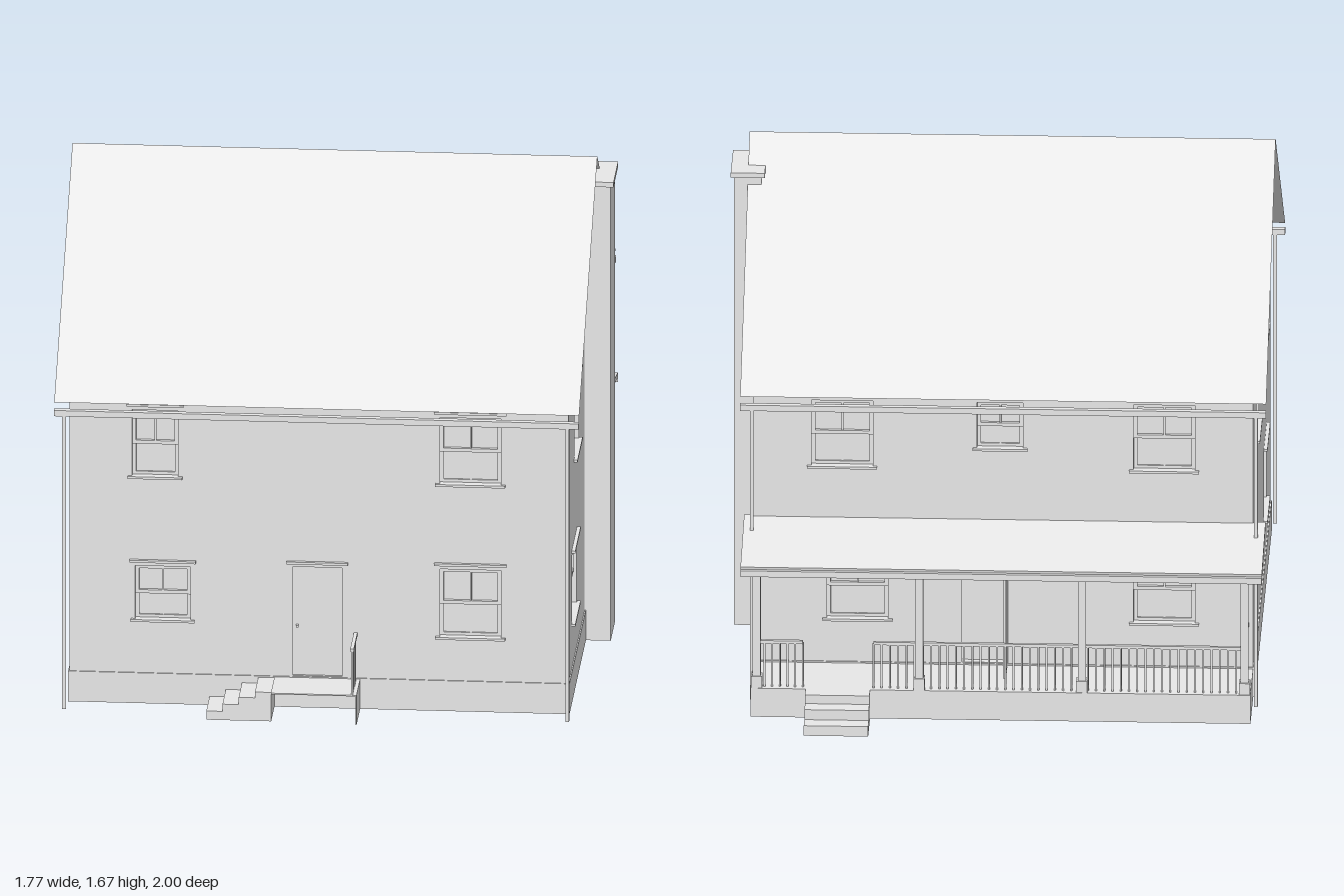
import * as THREE from 'three';

export function createModel() {
  const house = new THREE.Group();
  house.name = 'house';
  const plaster = new THREE.MeshStandardMaterial({ color: 0xe7e7e7 });
  plaster.name = 'pale grey';
  const sheet = new THREE.MeshStandardMaterial({ color: 0xe7e7e7, side: THREE.DoubleSide });
  sheet.name = 'pale grey sheet';

  // Box given by its limits on each axis
  function box(parent, name, x0, x1, y0, y1, z0, z1) {
    const mesh = new THREE.Mesh(new THREE.BoxGeometry(x1 - x0, y1 - y0, z1 - z0), plaster);
    mesh.position.set((x0 + x1) / 2, (y0 + y1) / 2, (z0 + z1) / 2);
    mesh.name = name;
    parent.add(mesh);
    return mesh;
  }

  // Sheet running along x between two (z, y) edges, the first edge having the lower z
  function slope(name, material, x0, x1, zA, yA, zB, yB) {
    const geo = new THREE.PlaneGeometry(x1 - x0, Math.hypot(zB - zA, yB - yA));
    geo.rotateX(-Math.PI / 2 + Math.atan2(yA - yB, zB - zA));
    geo.translate((x0 + x1) / 2, (yA + yB) / 2, (zA + zB) / 2);
    const mesh = new THREE.Mesh(geo, material);
    mesh.name = name;
    house.add(mesh);
  }

  const X0 = -0.84, X1 = 0.79, ZF = 0.84, ZB = -0.605, ZP = -0.84;
  const BASE = 0.105, EAVE = 1.1, RIDGE_Z = 0.115, DEPTH = 0.03, T = 0.004;

  // Hollow foundation, open below, under a thin ground floor
  box(house, 'foundationFront', X0 - T, X1 + T, 0, BASE, ZF, ZF + T);
  box(house, 'foundationBack', X0, X1, 0, BASE, ZB - T, ZB);
  for (const x of [X0 - T, X1]) box(house, 'foundationSide', x, x + T, 0, BASE, ZB, ZF);
  box(house, 'groundFloor', X0, X1, BASE - T, BASE, ZB, ZF);

  // Window fittings: recessed pane, two sashes, header and sill
  function addWindow(wall, [u0, u1, v0, v1]) {
    const g = new THREE.Group();
    g.name = 'window';
    const t = 0.012, um = (u0 + u1) / 2, vm = (v0 + v1) / 2;
    box(g, 'pane', u0, u1, v0, v1, -0.028, -0.022);
    for (const [a, b, z] of [[v0, vm + t / 2, -0.016], [vm - t / 2, v1, -0.01]]) {
      box(g, 'sashBottom', u0, u1, a, a + t, -0.022, z);
      box(g, 'sashTop', u0, u1, b - t, b, -0.022, z);
      box(g, 'sashLeft', u0, u0 + t, a, b, -0.022, z);
      box(g, 'sashRight', u1 - t, u1, a, b, -0.022, z);
      box(g, 'glazingBar', um - 0.003, um + 0.003, a, b, -0.022, z - 0.002);
    }
    box(g, 'header', u0 - 0.018, u1 + 0.018, v1 + 0.014, v1 + 0.022, -0.004, 0.012);
    box(g, 'sill', u0 - 0.014, u1 + 0.014, v0 - 0.006, v0 + 0.002, -0.02, 0.012);
    wall.add(g);
  }

  // Wall with holes, built facing +z and then turned into place
  function wall(name, outline, windows, doors, angle, x, z) {
    const g = new THREE.Group();
    g.name = name;
    const shape = new THREE.Shape(outline.map(([u, v]) => new THREE.Vector2(u, v)));
    for (const [u0, u1, v0, v1] of [...windows, ...doors]) {
      shape.holes.push(new THREE.Path([
        new THREE.Vector2(u0, v0), new THREE.Vector2(u0, v1),
        new THREE.Vector2(u1, v1), new THREE.Vector2(u1, v0)]));
    }
    const geo = new THREE.ExtrudeGeometry(shape, { depth: DEPTH, bevelEnabled: false });
    geo.translate(0, 0, -DEPTH);
    const skin = new THREE.Mesh(geo, plaster);
    skin.name = name + 'Skin';
    g.add(skin);
    windows.forEach((w) => addWindow(g, w));
    for (const [u0, u1, , v1] of doors) {
      box(g, 'doorHeader', u0 - 0.02, u1 + 0.02, v1 + 0.012, v1 + 0.02, -0.004, 0.012);
    }
    g.rotation.y = angle;
    g.position.set(x, 0, z);
    house.add(g);
    return g;
  }

  const rect = (a, b) => [[a, BASE], [b, BASE], [b, EAVE], [a, EAVE]];
  const gable = (a, peak, b) => [[a, BASE], [b, BASE], [b, EAVE + 0.005], [peak, 1.655], [a, EAVE + 0.005]];

  const front = wall('frontWall', rect(X0, X1), [
    [-0.625, -0.445, 0.29, 0.475], [0.37, 0.57, 0.255, 0.49],
    [-0.635, -0.485, 0.785, 1.015], [0.37, 0.57, 0.785, 1.015],
  ], [[-0.11, 0.05, 0.108, 0.485]], 0, 0, ZF);
  box(front, 'frontDoor', -0.11, 0.05, 0.108, 0.485, -0.025, -0.01);
  box(front, 'doorKnob', -0.1, -0.092, 0.275, 0.283, -0.01, 0.002);

  // Here the wall's own horizontal axis runs along -z
  wall('rightWall', gable(-ZF, -RIDGE_Z, -ZB), [
    [-0.585, -0.39, 0.79, 1.02], [0.12, 0.315, 0.79, 1.02],
    [-0.68, -0.48, 0.255, 0.49], [0.04, 0.23, 0.255, 0.49],
  ], [], Math.PI / 2, X1, 0);

  // Here the wall's own horizontal axis runs along +z
  wall('leftWall', gable(ZB, RIDGE_Z, ZF), [
    [-0.33, -0.13, 0.79, 1.02], [0.37, 0.51, 0.86, 1.02], [0.3, 0.5, 0.255, 0.49],
  ], [], -Math.PI / 2, X0, 0);

  // Here the wall's own horizontal axis runs along -x
  const back = wall('backWall', rect(-X1, -X0), [
    [-0.6, -0.4, 0.79, 1.02], [-0.06, 0.09, 0.86, 1.02], [0.45, 0.65, 0.79, 1.02],
    [-0.55, -0.35, 0.255, 0.49], [0.45, 0.65, 0.255, 0.49],
  ], [[-0.11, 0.04, 0.108, 0.49]], Math.PI, 0, ZB);
  box(back, 'doorwayPanel', -0.11, 0.04, 0.108, 0.49, -0.03, -0.024);
  box(back, 'openBackDoor', 0.03, 0.04, 0.108, 0.49, -0.005, 0.14);

  // Main roof, gutters and downspouts
  slope('frontRoof', sheet, -0.885, 0.83, RIDGE_Z, 1.67, 0.905, 1.057);
  slope('backRoof', sheet, -0.885, 0.83, -0.675, 1.057, RIDGE_Z, 1.67);
  for (const [z, name] of [[0.912, 'front'], [-0.685, 'back']]) {
    box(house, name + 'Gutter', -0.885, 0.83, 1.015, 1.035, z - 0.01, z + 0.01);
    for (const x of [-0.852, 0.792]) {
      box(house, name + 'Downspout', x - 0.006, x + 0.006, 0, 1.02, z - 0.006, z + 0.006);
    }
  }

  // Chimney
  box(house, 'chimney', 0.785, 0.875, 0, 1.578, -0.043, 0.135);
  box(house, 'chimneyCap', 0.774, 0.885, 1.575, 1.592, -0.055, 0.145);

  // Handrail with balusters between two floor points
  function railing(name, xA, zA, xB, zB) {
    const g = new THREE.Group();
    g.name = name;
    const length = Math.hypot(xB - xA, zB - zA), count = Math.max(2, Math.round(length / 0.027));
    box(g, 'topRail', 0, length, 0.252, 0.262, -0.006, 0.006);
    for (let i = 0; i <= count; i++) {
      const u = (length * i) / count;
      box(g, 'baluster', u - 0.003, u + 0.003, BASE - 0.005, 0.255, -0.003, 0.003);
    }
    g.position.set(xA, 0, zA);
    g.rotation.y = Math.atan2(-(zB - zA), xB - xA);
    house.add(g);
  }

  // Back porch, open below: floor, skirt, posts, rails, roof and steps
  slope('porchFloor', plaster, X0, X1, ZP, 0.1, ZB, 0.1);
  box(house, 'porchSkirtBack', X0, X1, 0, 0.1, ZP, ZP + T);
  for (const x of [X0, X1 - T]) box(house, 'porchSkirtSide', x, x + T, 0, 0.1, ZP, ZB);
  for (const x of [0.77, 0.24, -0.29, -0.82]) {
    box(house, 'porchPost', x - 0.013, x + 0.013, 0.1, 0.562, -0.833, -0.807);
    box(house, 'postBase', x - 0.018, x + 0.018, 0.1, 0.14, -0.838, -0.802);
  }
  railing('porchBackRail', -0.82, -0.82, 0.39, -0.82);
  railing('porchShortRail', 0.62, -0.82, 0.77, -0.82);
  railing('porchRightRail', 0.77, -0.82, 0.77, ZB);
  railing('porchLeftRail', -0.82, -0.82, -0.82, ZB);
  const porchRoof = box(house, 'porchRoof', -0.88, 0.82, -0.008, 0.008, -0.158, 0.158);
  porchRoof.position.set(-0.03, 0.574, -0.75);
  porchRoof.rotation.x = -Math.atan2(0.06, 0.31);
  box(house, 'porchGutter', -0.88, 0.82, 0.522, 0.543, -0.918, -0.898);
  [0.1, 0.07, 0.035].forEach((h, i) => {
    const z = ZP - i * 0.053;
    box(house, 'porchStep', 0.4, 0.61, 0, h, z - 0.053, z);
  });

  // Front stoop: slab on a side plate, open in front, with steps at the side
  box(house, 'stoopSlab', -0.17, 0.11, 0.099, 0.103, ZF, 1);
  box(house, 'stoopSide', 0.106, 0.11, 0, 0.1, ZF, 1);
  [0.1, 0.08, 0.055, 0.03].forEach((h, i) => {
    const x = -0.17 - i * 0.053;
    box(house, 'stoopStep', x - 0.053, x, 0, h, ZF, 0.985);
  });
  railing('stoopRail', 0.095, ZF, 0.095, 0.995);

  return house;
}
